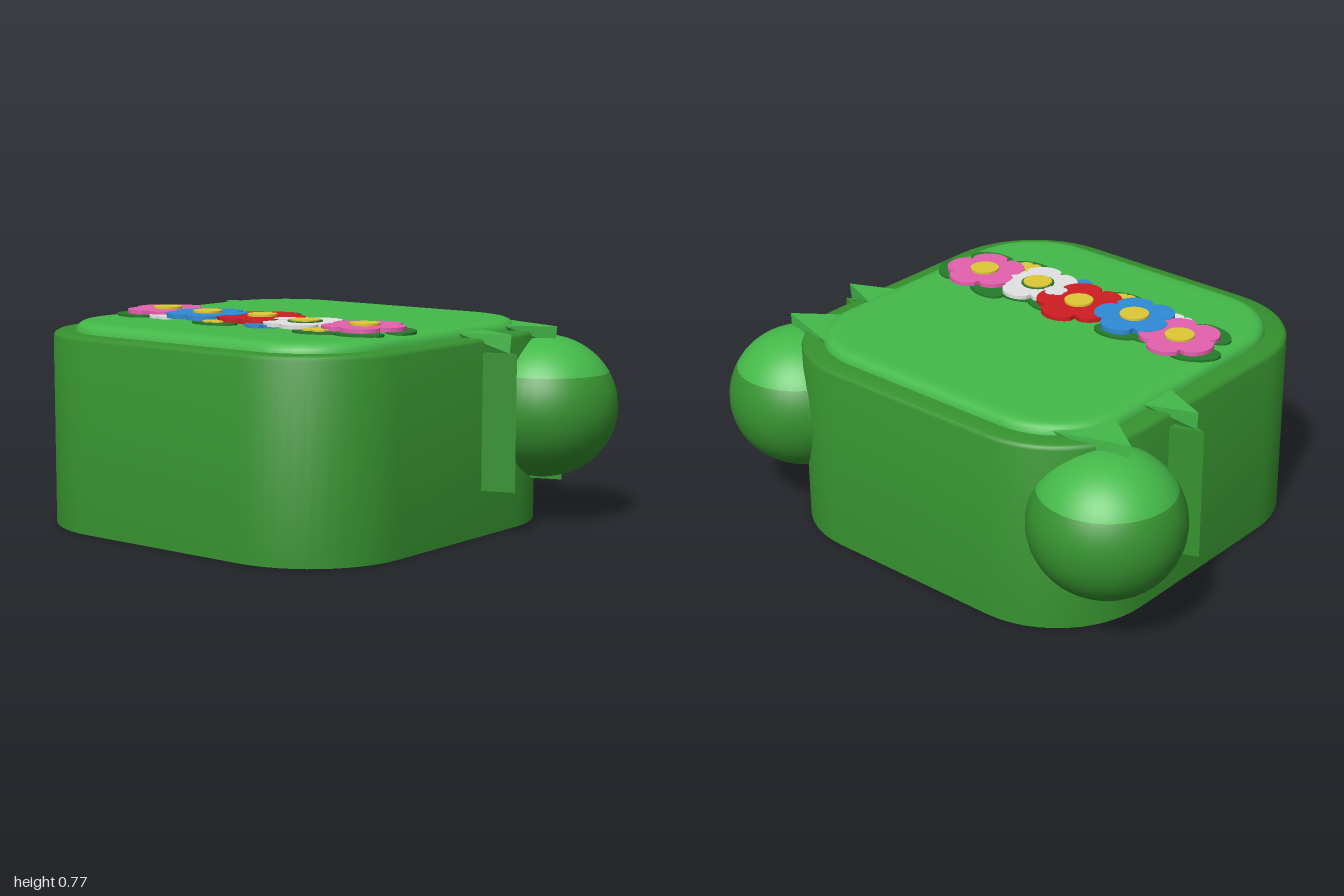
import * as THREE from 'three';
import { toCreasedNormals } from 'three/addons/utils/BufferGeometryUtils.js';
import { ConvexGeometry } from 'three/addons/geometries/ConvexGeometry.js';

const mat = (name, color) => Object.assign(new THREE.MeshStandardMaterial({ color }), { name });
const HALF = 0.7375, RADIUS = 0.38, CZ = 0.0375;

// Loft rounded squares along a profile of [inset, y]; inset null closes at the centre.
function loft(profile) {
  const per = 13, n = per * 4, pos = [], idx = [];
  const c = HALF - RADIUS;
  for (const [inset, y] of profile) {
    const r = RADIUS - (inset ?? 0), s = inset === null ? 0 : 1;
    for (let q = 0; q < 4; q++) {
      const mid = (q + 0.5) * Math.PI / 2;
      for (let k = 0; k < per; k++) {
        const a = (q + k / (per - 1)) * Math.PI / 2;
        const x = Math.sign(Math.cos(mid)) * c + Math.cos(a) * r;
        const z = Math.sign(Math.sin(mid)) * c + Math.sin(a) * r;
        pos.push(x * s, y, z * s + CZ);
      }
    }
  }
  for (let i = 0; i < profile.length - 1; i++) {
    for (let t = 0; t < n; t++) {
      const a = i * n + t, b = i * n + (t + 1) % n;
      if (profile[i][0] !== null) idx.push(a, a + n, b);
      if (profile[i + 1][0] !== null) idx.push(b, a + n, b + n);
    }
  }
  const g = new THREE.BufferGeometry();
  g.setAttribute('position', new THREE.Float32BufferAttribute(pos, 3));
  g.setIndex(idx);
  return toCreasedNormals(g, 0.7);
}

// Flat piece cut from an outline function angle -> [rx, rz], lying level
function plate(radiusAt, height, steps = 60) {
  const pts = [];
  for (let i = 0; i < steps; i++) {
    const a = i / steps * Math.PI * 2, [rx, rz] = radiusAt(a);
    pts.push(new THREE.Vector2(Math.cos(a) * rx, Math.sin(a) * rz));
  }
  const g = new THREE.ExtrudeGeometry(new THREE.Shape(pts), { depth: height, bevelEnabled: false });
  return g.rotateX(-Math.PI / 2);
}

// Wedge between a lower and an upper triangle given as [x, z] corners
const wedge = (low, y0, high, y1, s) => new ConvexGeometry([
  ...low.map(([x, z]) => new THREE.Vector3(x * s, y0, z)),
  ...high.map(([x, z]) => new THREE.Vector3(x * s, y1, z)),
]);

export function createModel() {
  const root = new THREE.Group();
  const light = mat('light green', 0x44b949), dark = mat('mid green', 0x36922f);
  const leafGreen = mat('leaf green', 0x257b2a), yellow = mat('yellow', 0xdfc836);
  const pink = mat('pink', 0xe460ae), blue = mat('blue', 0x308ad6);
  const red = mat('red', 0xd01d20), white = mat('white', 0xe2e2e2);

  const add = (name, geo, material, parent = root, x = 0, y = 0, z = 0, turn = 0) => {
    const m = new THREE.Mesh(geo, material);
    m.name = name;
    m.position.set(x, y, z);
    m.rotation.y = turn;
    parent.add(m);
    return m;
  };

  // Closed body with an inlaid base panel and a rounded, raised top panel
  add('body', loft([[0.08, 0], [0, 0], [0, 0.69], [0.005, 0.7], [0.015, 0.705], [0.09, 0.705]]), dark);
  add('basePanel', loft([[null, 0], [0.08, 0]]), light);
  add('topPanel', loft([[0.08, 0.703], [0.083, 0.717], [0.092, 0.729], [0.107, 0.737],
    [0.125, 0.74], [0.16, 0.74], [null, 0.74]]), light);

  // Ears and side spikes, mirrored
  const r = 0.274, squash = 0.955, earY = 0.424;
  const split = Math.acos((0.553 - earY) / (r * squash));
  for (const s of [1, -1]) {
    const side = new THREE.Group();
    side.name = s > 0 ? 'leftSide' : 'rightSide';
    root.add(side);
    const ear = (name, from, sweep, m) => add(name,
      new THREE.SphereGeometry(r, 40, 18, 0, Math.PI * 2, from, sweep).scale(1, squash, 1),
      m, side, s * 0.726, earY, -0.503);
    ear('earTop', 0, split, light);
    ear('ear', split, Math.PI - split, dark);

    const frontBar = [[0.85, -0.14], [0.7, -0.08], [0.7, -0.2]];
    add('frontSpikeBar', wedge(frontBar, 0.165, frontBar, 0.655, s), dark, side);
    add('frontSpikeCap', wedge([[0.82, -0.14], [0.66, -0.11], [0.66, -0.17]], 0.655,
      [[0.825, -0.142], [0.65, -0.065], [0.65, -0.215]], 0.722, s), light, side);

    const backBar = [[0.83, -0.475], [0.58, -0.53], [0.66, -0.41]];
    add('backSpikeBar', wedge(backBar, 0.163, backBar, 0.655, s), dark, side);
    add('backSpikeCap', wedge([[0.79, -0.48], [0.6, -0.52], [0.65, -0.43]], 0.655,
      [[0.8, -0.475], [0.535, -0.56], [0.645, -0.36]], 0.722, s), light, side);
  }

  // Flower garland lying on the panel
  const garland = new THREE.Group();
  garland.name = 'garland';
  root.add(garland);
  const Y = 0.739;

  // Leaves: x, z, turn
  const leafGeo = plate(a => [0.092, 0.055], 0.009, 24);
  for (const [x, z, turn] of [
    [-0.575, 0.175, 0.6], [-0.525, 0.345, -0.3], [-0.25, 0.145, 0.2], [-0.1, 0.375, 0.1],
    [0.12, 0.17, -0.4], [0.24, 0.165, 0.1], [0.36, 0.125, -0.3], [0.585, 0.18, -0.9],
    [0.53, 0.345, 0.2], [0.37, 0.37, 0.3], [-0.36, 0.19, 0.3],
  ]) add('leaf', leafGeo, leafGreen, garland, x, Y, z, turn);

  // Five-petalled flowers: colour, x, z, radius, turn, base height, thickness
  const bloom = R => a => {
    const k = R * (0.74 + 0.26 * Math.sqrt(Math.abs(Math.cos(2.5 * a))));
    return [k, k];
  };
  for (const [c, x, z, R, turn, y, h] of [
    [white, -0.365, 0.325, 0.075, 0.2, 0.003, 0.011],
    [yellow, -0.1, 0.365, 0.052, 0.5, 0.003, 0.011],
    [blue, 0.105, 0.34, 0.075, 0.9, 0.003, 0.011],
    [white, 0.125, 0.245, 0.045, 0.1, 0.01, 0.016],
    [yellow, 0.36, 0.35, 0.06, 0.4, 0.003, 0.011],
    [pink, -0.465, 0.23, 0.15, 0.35, 0.009, 0.015],
    [blue, -0.235, 0.262, 0.152, 1.57, 0.009, 0.017],
    [red, -0.003, 0.226, 0.164, 0.25, 0.009, 0.016],
    [white, 0.225, 0.26, 0.15, 0.15, 0.009, 0.014],
    [pink, 0.462, 0.225, 0.152, 0.2, 0.009, 0.015],
  ]) {
    add('petals', plate(bloom(R), h), c, garland, x, Y + y, z, turn);
    if (R < 0.1) continue;
    const top = Y + y + h;
    if (c === white) add('flowerRim', new THREE.CylinderGeometry(0.062, 0.062, 0.005, 28), leafGreen, garland, x, top + 0.001, z);
    add('flowerCentre', new THREE.CylinderGeometry(0.054, 0.054, 0.01, 28), yellow, garland, x, top + 0.003, z);
  }
  return root;
}
